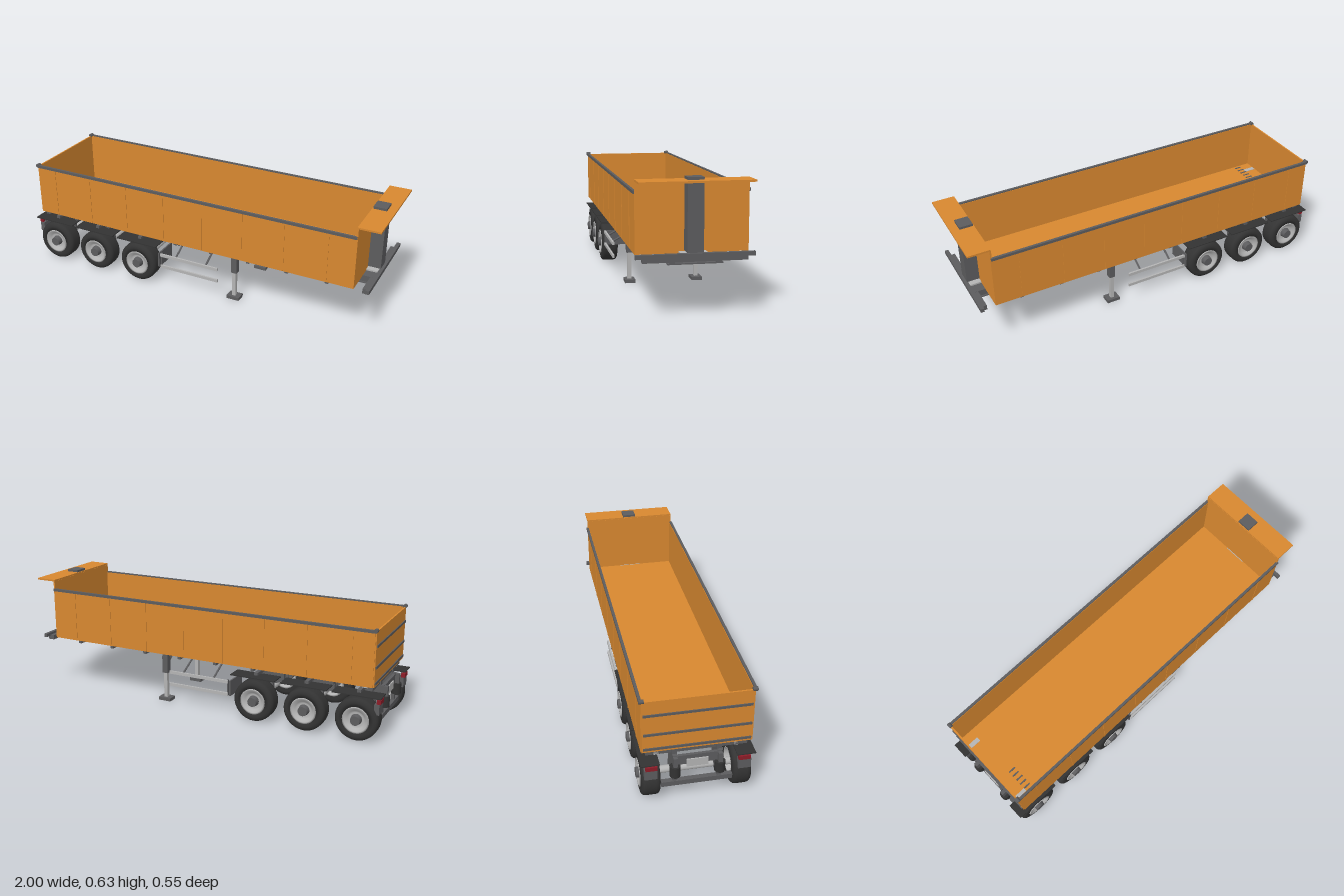
import * as THREE from 'three';

const mat = (color) => new THREE.MeshStandardMaterial({ color, side: THREE.DoubleSide });

export function createModel() {
  const root = new THREE.Group();
  root.name = 'tipperTrailer';
  const orange = mat(0xd88830), dark = mat(0x5c5c5e), black = mat(0x333333);
  const light = mat(0xb4b4b4), red = mat(0x8c1c28);

  const add = (name, geo, material, parent = root) => {
    const m = new THREE.Mesh(geo, material);
    m.name = name;
    parent.add(m);
    return m;
  };
  // Box given by its extents on each axis
  const box = (name, material, [x0, x1], [y0, y1], [z0, z1], parent) => {
    const m = add(name, new THREE.BoxGeometry(x1 - x0, y1 - y0, Math.abs(z1 - z0)), material, parent);
    m.position.set((x0 + x1) / 2, (y0 + y1) / 2, (z0 + z1) / 2);
    return m;
  };
  // Same box on both sides of the trailer
  const pair = (name, material, xs, ys, [z0, z1]) => {
    box(name, material, xs, ys, [z0, z1]);
    box(name, material, xs, ys, [-z1, -z0]);
  };
  // Round bar between two points
  const bar = (name, material, a, b, r) => {
    const p = new THREE.Vector3(...a), q = new THREE.Vector3(...b), d = q.clone().sub(p);
    const m = add(name, new THREE.CylinderGeometry(r, r, d.length(), 20), material);
    m.position.copy(p).add(q).multiplyScalar(0.5);
    m.quaternion.setFromUnitVectors(new THREE.Vector3(0, 1, 0), d.normalize());
    return m;
  };

  // Open tipping body
  box('floor', orange, [-0.955, 0.89], [0.287, 0.295], [-0.258, 0.258]);
  pair('sideWall', orange, [-0.955, 0.89], [0.287, 0.565], [0.252, 0.26]);
  box('frontWall', orange, [0.884, 0.892], [0.287, 0.612], [-0.26, 0.26]);
  box('canopy', orange, [0.885, 1.0], [0.611, 0.62], [-0.26, 0.26]);
  box('tailgate', orange, [-0.961, -0.953], [0.287, 0.565], [-0.257, 0.257]);
  pair('topRail', dark, [-0.96, 0.89], [0.557, 0.571], [0.254, 0.267]);
  for (let i = 0; i < 8; i++) {
    const x = -0.846 + i * 0.228;
    pair('wallSeam', orange, [x - 0.003, x + 0.003], [0.29, 0.557], [0.259, 0.2625]);
  }
  for (const y of [0.305, 0.385, 0.49]) {
    box('tailgateRib', dark, [-0.966, -0.96], [y - 0.006, y + 0.006], [-0.25, 0.25]);
  }
  for (const s of [-1, 1]) {
    bar('tailgatePivot', dark, [-0.957, 0.568, s * 0.245], [-0.957, 0.568, s * 0.268], 0.01);
  }

  // Hoist housing on the front wall
  box('hoistHousing', dark, [0.89, 0.958], [0.3, 0.632], [-0.037, 0.037]);
  box('hoistBase', light, [0.88, 0.96], [0.288, 0.296], [-0.062, 0.062]);

  // Chassis
  pair('mainRail', dark, [-0.955, 0.96], [0.25, 0.288], [0.093, 0.117]);
  box('frontBar', dark, [0.953, 0.972], [0.281, 0.3], [-0.27, 0.27]);
  box('frontBeam', dark, [0.93, 0.965], [0.262, 0.287], [-0.238, 0.238]);
  box('rearBeam', dark, [-0.95, -0.925], [0.262, 0.287], [-0.238, 0.238]);
  for (let i = 0; i < 8; i++) {
    const x = -0.745 + i * 0.213;
    box('crossMember', dark, [x - 0.009, x + 0.009], [0.265, 0.287], [-0.238, 0.238]);
  }
  box('couplingPlate', dark, [0.45, 0.96], [0.25, 0.256], [-0.125, 0.125]);
  bar('kingpin', light, [0.7, 0.236, 0], [0.7, 0.252, 0], 0.004);
  bar('kingpinFlange', light, [0.7, 0.232, 0], [0.7, 0.237, 0], 0.008);
  pair('hingeBlock', light, [-0.95, -0.887], [0.26, 0.297], [0.175, 0.2]);
  for (let i = 0; i < 7; i++) {
    const z = 0.06 + i * 0.029;
    box('ladderRung', dark, [-0.888, -0.848], [0.283, 0.297], [z - 0.004, z + 0.004]);
  }

  // Wheels, axles and suspension
  const tyreProfile = [[0.066, -0.045], [0.088, -0.045], [0.1, -0.042], [0.108, -0.034], [0.11, -0.022],
    [0.11, 0.022], [0.108, 0.034], [0.1, 0.042], [0.088, 0.045], [0.066, 0.045], [0.066, -0.045]];
  const tyreGeo = new THREE.LatheGeometry(tyreProfile.map((p) => new THREE.Vector2(...p)), 48);
  const rimProfile = [[0, 0.03], [0.036, 0.03], [0.046, 0.036], [0.06, 0.048], [0.068, 0.048], [0.068, -0.045], [0.06, -0.045], [0.052, 0.02], [0, 0.02]];
  const rimGeo = new THREE.LatheGeometry(rimProfile.map((p) => new THREE.Vector2(...p)), 40);
  const hubGeo = new THREE.CylinderGeometry(0.024, 0.03, 0.04, 28);
  for (const x of [-0.88, -0.61, -0.335]) {
    for (const s of [-1, 1]) {
      const wheel = new THREE.Group();
      wheel.name = 'wheel';
      wheel.position.set(x, 0.11, s * 0.215);
      wheel.rotation.x = s * Math.PI / 2;
      add('tyre', tyreGeo, black, wheel);
      add('rim', rimGeo, light, wheel);
      add('hub', hubGeo, dark, wheel).position.y = 0.038;
      root.add(wheel);
      // Tapered hanger bracket with a trailing arm
      const shape = new THREE.Shape([[-0.11, 0.252], [0.03, 0.252], [0.03, 0.22], [0.0, 0.175],
        [-0.07, 0.175], [-0.11, 0.2]].map((p) => new THREE.Vector2(...p)));
      const hanger = add('hanger', new THREE.ExtrudeGeometry(shape, { depth: 0.02, bevelEnabled: false }), dark);
      hanger.position.set(x, 0, s * 0.105 - 0.01);
      box('trailingArm', dark, [x - 0.05, x + 0.03], [0.1, 0.18], [s * 0.105 - 0.008, s * 0.105 + 0.008]);
    }
    bar('axle', light, [x, 0.11, -0.2], [x, 0.11, 0.2], 0.018);
    // Flat mudguard over each wheel
    pair('mudguard', black, [x - 0.12, x + 0.125], [0.236, 0.241], [0.18, 0.268]);
    pair('mudguardArm', dark, [x - 0.01, x + 0.01], [0.239, 0.255], [0.1, 0.225]);
  }
  pair('mudFlap', dark, [-0.205, -0.197], [0.115, 0.198], [0.115, 0.253]);

  // Side guards
  for (const y of [0.115, 0.183]) pair('sideGuardRail', light, [-0.19, 0.155], [y, y + 0.016], [0.246, 0.256]);
  pair('sideGuardPost', dark, [-0.19, -0.182], [0.115, 0.2], [0.24, 0.248]);
  for (const x of [-0.1, 0.08]) {
    for (const s of [-1, 1]) {
      bar('sideGuardStay', dark, [x, 0.19, s * 0.245], [x, 0.26, s * 0.11], 0.005);
    }
  }

  // Landing legs
  pair('legSleeve', dark, [0.205, 0.237], [0.157, 0.25], [0.161, 0.193]);
  pair('legTube', light, [0.211, 0.231], [0.016, 0.16], [0.167, 0.188]);
  pair('legFoot', dark, [0.185, 0.257], [0, 0.017], [0.15, 0.204]);
  for (const s of [-1, 1]) {
    bar('legBrace', dark, [0.221, 0.205, s * 0.165], [0.221, 0.258, s * 0.095], 0.007);
  }
  box('legCrossBeam', dark, [0.205, 0.237], [0.245, 0.265], [-0.19, 0.19]);

  // Rear underrun bar, lamps and plate
  box('underrunBar', dark, [-0.975, -0.95], [0.085, 0.11], [-0.168, 0.168]);
  pair('underrunPost', dark, [-0.97, -0.952], [0.1, 0.255], [0.095, 0.115]);
  for (const s of [-1, 1]) {
    bar('rearBuffer', black, [-0.975, 0.146, s * 0.105], [-0.975, 0.202, s * 0.105], 0.025);
  }
  pair('lampBox', dark, [-0.99, -0.965], [0.15, 0.203], [0.19, 0.25]);
  pair('tailLamp', red, [-0.995, -0.975], [0.203, 0.224], [0.19, 0.245]);
  pair('lampBracket', dark, [-0.985, -0.97], [0.2, 0.238], [0.21, 0.23]);
  box('rearPlate', light, [-0.975, -0.969], [0.188, 0.229], [-0.051, 0.051]);
  box('plateBracket', dark, [-0.969, -0.955], [0.2, 0.25], [-0.1, 0.1]);

  return root;
}
